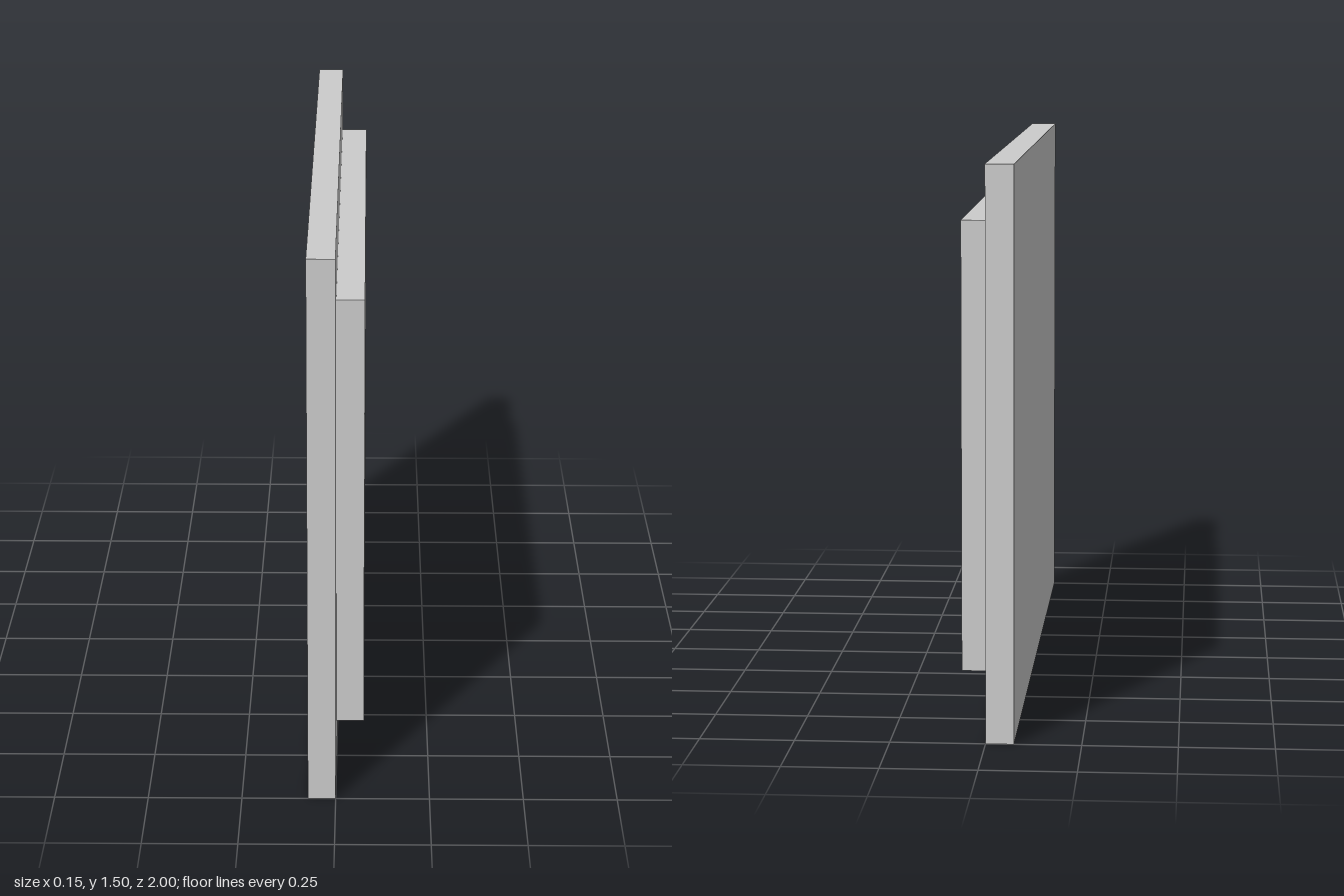
import * as THREE from 'three';

const material = new THREE.MeshStandardMaterial({ color: 0xcccccc, flatShading: true });

// Box given by its lower and upper corner
function slab(name, min, max) {
  const [w, h, d] = max.map((v, i) => v - min[i]);
  const mesh = new THREE.Mesh(new THREE.BoxGeometry(w, h, d), material);
  mesh.position.set(min[0] + w / 2, min[1] + h / 2, min[2] + d / 2);
  mesh.name = name;
  return mesh;
}

export function createModel() {
  const group = new THREE.Group();
  group.name = 'wallPanel';
  // Large backing board, with a smaller raised panel on its +x face
  group.add(slab('backBoard', [-0.074, 0, -1], [0, 1.504, 1]));
  group.add(slab('raisedPanel', [0, 0.157, -0.85], [0.074, 1.349, 0.85]));
  return group;
}
